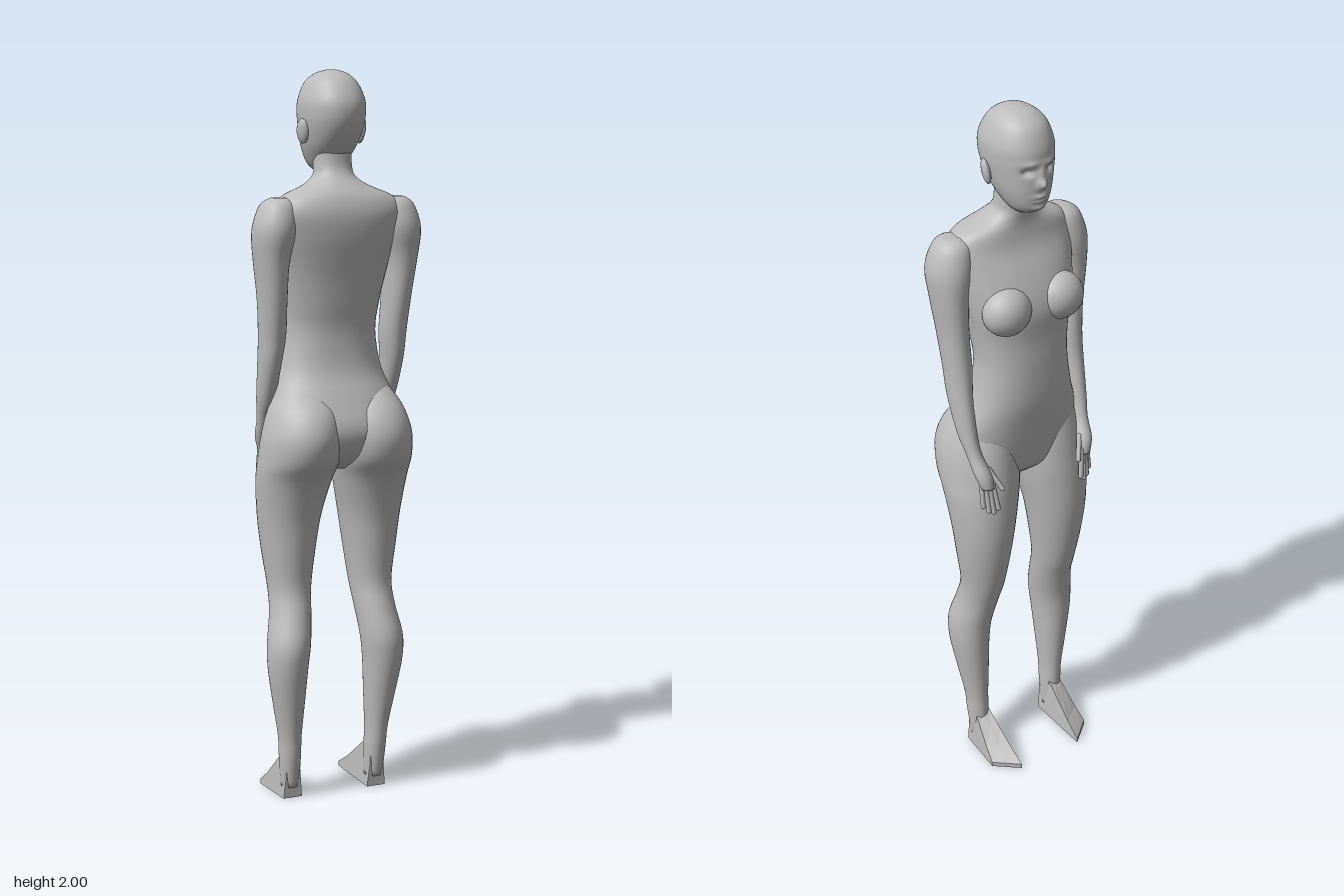
import * as THREE from 'three';

const grey = new THREE.MeshStandardMaterial({ color: 0xbcbcbc });
grey.name = 'plain grey';

// Smooth skin over horizontal oval sections, listed top to bottom:
// [y, xMin, xMax, zFront, zBack]; power above 2 squares the oval off.
function loft(rows, { sides = 32, steps = 4, power = 2, shape = null } = {}) {
  const at = (i) => rows[Math.max(0, Math.min(rows.length - 1, i))];
  const rings = [];
  for (let i = 0; i < rows.length - 1; i++) {
    const last = i === rows.length - 2 ? 1 : 0;
    for (let s = 0; s < steps + last; s++) {
      const t = s / steps;
      rings.push(at(i).map((p1, k) => {
        const p0 = at(i - 1)[k], p2 = at(i + 1)[k], p3 = at(i + 2)[k];
        return p1 + 0.5 * t * (p2 - p0 + t * (2 * p0 - 5 * p1 + 4 * p2 - p3 + t * (3 * (p1 - p2) + p3 - p0)));
      }));
    }
  }
  // Collapsed rings close both ends
  const point = ([y, a, b, c, d]) => [y, (a + b) / 2, (a + b) / 2, (c + d) / 2, (c + d) / 2];
  rings.unshift(point(rings[0]));
  rings.push(point(rings[rings.length - 1]));

  const pos = [], index = [];
  const bend = (v) => Math.sign(v) * Math.abs(v) ** (2 / power);
  rings.forEach(([y, x0, x1, zf, zb], i) => {
    for (let j = 0; j < sides; j++) {
      const a = (j / sides) * Math.PI * 2;
      const v = new THREE.Vector3(
        (x0 + x1) / 2 + ((x1 - x0) / 2) * bend(Math.cos(a)), y,
        (zf + zb) / 2 + ((zb - zf) / 2) * bend(Math.sin(a)));
      if (shape) shape(v);
      pos.push(v.x, v.y, v.z);
      if (i < rings.length - 1) {
        const k = (j + 1) % sides, p = i * sides, q = p + sides;
        index.push(p + j, p + k, q + k, p + j, q + k, q + j);
      }
    }
  });
  const g = new THREE.BufferGeometry();
  g.setAttribute('position', new THREE.Float32BufferAttribute(pos, 3));
  g.setIndex(index);
  g.computeVertexNormals();
  return g;
}

const centred = (rows) => rows.map(([y, r, zf, zb]) => [y, -r, r, zf, zb]);
const sided = (rows, s) => rows.map(([y, a, b, zf, zb]) => (s > 0 ? [y, a, b, zf, zb] : [y, -b, -a, zf, zb]));

const HEAD = centred([
  [2.0, 0.012, -0.012, 0.022], [1.99, 0.042, -0.05, 0.055], [1.965, 0.068, -0.085, 0.088],
  [1.92, 0.085, -0.105, 0.114], [1.88, 0.086, -0.109, 0.117], [1.84, 0.08, -0.109, 0.105],
  [1.8, 0.07, -0.108, 0.08], [1.765, 0.055, -0.102, 0.045], [1.745, 0.042, -0.088, 0.02],
  [1.73, 0.025, -0.06, 0.0]]);

const TORSO = centred([
  [1.8, 0.05, -0.035, 0.06], [1.75, 0.051, -0.036, 0.062], [1.72, 0.057, -0.034, 0.075],
  [1.695, 0.092, -0.032, 0.098], [1.665, 0.16, -0.034, 0.122], [1.62, 0.185, -0.045, 0.135],
  [1.56, 0.175, -0.075, 0.131], [1.5, 0.162, -0.1, 0.118], [1.45, 0.152, -0.11, 0.106],
  [1.38, 0.138, -0.108, 0.093], [1.3, 0.131, -0.112, 0.08], [1.2, 0.147, -0.112, 0.088],
  [1.12, 0.176, -0.1, 0.122], [1.04, 0.19, -0.086, 0.15], [0.97, 0.16, -0.07, 0.125],
  [0.93, 0.06, -0.03, 0.07]]);

const ARM = [
  [1.665, 0.15, 0.19, 0.02, 0.075], [1.645, 0.12, 0.22, -0.008, 0.1], [1.58, 0.12, 0.241, -0.025, 0.116],
  [1.5, 0.14, 0.235, -0.025, 0.1], [1.4, 0.144, 0.222, -0.025, 0.085], [1.3, 0.142, 0.215, -0.03, 0.065],
  [1.22, 0.15, 0.212, -0.04, 0.048], [1.12, 0.156, 0.205, -0.06, 0.008], [1.06, 0.155, 0.195, -0.077, -0.028],
  [1.01, 0.143, 0.19, -0.106, -0.055], [0.97, 0.14, 0.178, -0.112, -0.075]];

const LEG = [
  [1.16, 0.05, 0.15, -0.04, 0.07], [1.1, 0.008, 0.188, -0.07, 0.142], [1.03, -0.002, 0.21, -0.086, 0.173],
  [0.96, -0.002, 0.217, -0.096, 0.16], [0.9, 0.01, 0.217, -0.102, 0.12], [0.8, 0.032, 0.208, -0.105, 0.085],
  [0.7, 0.048, 0.196, -0.095, 0.07], [0.6, 0.062, 0.182, -0.075, 0.062], [0.53, 0.07, 0.184, -0.053, 0.08],
  [0.45, 0.08, 0.198, -0.035, 0.104], [0.38, 0.088, 0.198, -0.03, 0.1], [0.28, 0.094, 0.182, -0.026, 0.08],
  [0.18, 0.1, 0.164, -0.022, 0.06], [0.12, 0.1, 0.16, -0.022, 0.052], [0.03, 0.102, 0.154, -0.02, 0.036]];

// Soft face relief: [depth, x, y, width, height]
const RELIEF = [
  [-0.021, 0, 1.828, 0.011, 0.014], [-0.008, 0, 1.855, 0.009, 0.018], [0.014, 0.033, 1.86, 0.014, 0.009],
  [-0.005, 0.03, 1.882, 0.022, 0.007], [-0.008, 0, 1.792, 0.02, 0.005], [-0.007, 0, 1.779, 0.017, 0.004],
  [-0.007, 0, 1.757, 0.02, 0.009]];
function faceShape(v) {
  if (v.z > -0.03) return;
  let dz = 0;
  for (const [d, x, y, w, h] of RELIEF) {
    dz += d * Math.exp(-(((Math.abs(v.x) - x) / w) ** 2) - ((v.y - y) / h) ** 2);
  }
  v.z += dz;
}

// Angular wedge foot with a slanted toe line
function footGeometry(s) {
  const box = new THREE.BoxGeometry(1, 1, 1, 2, 1, 4).toNonIndexed();
  const p = box.attributes.position;
  for (let i = 0; i < p.count; i++) {
    const u = s * p.getX(i) + 0.5, top = p.getY(i) > 0, t = 0.5 - p.getZ(i);
    const height = THREE.MathUtils.lerp(0.13, 0.014, Math.min(1, Math.max(0, t - 0.2) / 0.75));
    const inset = top ? 0.012 * (1 - t) : 0;
    const x = THREE.MathUtils.lerp(0.1 + inset, 0.155 + 0.012 * t - inset, u);
    const toe = THREE.MathUtils.lerp(-0.172, -0.115, u);
    p.setXYZ(i, s * x, top ? height : 0, THREE.MathUtils.lerp(top ? 0.04 : 0.03, toe, t));
  }
  box.computeVertexNormals();
  return box;
}

export function createModel() {
  const model = new THREE.Group();
  model.name = 'figure';
  const add = (name, geometry, parent = model) => {
    const mesh = new THREE.Mesh(geometry, grey);
    mesh.name = name;
    parent.add(mesh);
    return mesh;
  };

  add('head', loft(HEAD, { sides: 96, steps: 8, power: 2.15, shape: faceShape }));
  add('torso', loft(TORSO, { sides: 48, power: 2.3 }));

  for (const s of [1, -1]) {
    const side = s > 0 ? 'left' : 'right';

    const ear = add(side + 'Ear', new THREE.SphereGeometry(1, 16, 12));
    ear.scale.set(0.011, 0.034, 0.021);
    ear.position.set(s * 0.086, 1.838, 0.012);
    ear.rotation.set(0.2, s * -0.35, s * -0.1);

    const chest = add(side + 'Chest', new THREE.SphereGeometry(1, 24, 16));
    chest.scale.set(0.068, 0.066, 0.058);
    chest.position.set(s * 0.083, 1.475, -0.075);

    add(side + 'Arm', loft(sided(ARM, s)));

    // Fingers and thumb: base to tip
    const hand = new THREE.Group();
    hand.name = side + 'Hand';
    model.add(hand);
    const digits = [
      [0.148, 0.985, -0.1, 0.138, 0.905, -0.112], [0.157, 0.985, -0.097, 0.15, 0.895, -0.109],
      [0.166, 0.985, -0.092, 0.163, 0.9, -0.104], [0.175, 0.985, -0.085, 0.176, 0.915, -0.096],
      [0.15, 1.02, -0.085, 0.126, 0.965, -0.115]];
    digits.forEach(([ax, ay, az, bx, by, bz], i) => {
      const a = new THREE.Vector3(s * ax, ay, az), b = new THREE.Vector3(s * bx, by, bz);
      const length = a.distanceTo(b);
      const digit = add(i < 4 ? 'finger' : 'thumb', new THREE.CapsuleGeometry(0.007, length, 4, 8), hand);
      digit.position.copy(a).lerp(b, 0.5);
      digit.quaternion.setFromUnitVectors(new THREE.Vector3(0, 1, 0), b.sub(a).normalize());
    });

    add(side + 'Leg', loft(sided(LEG, s), { sides: 36 }));
    add(side + 'Foot', footGeometry(s));
  }
  return model;
}
